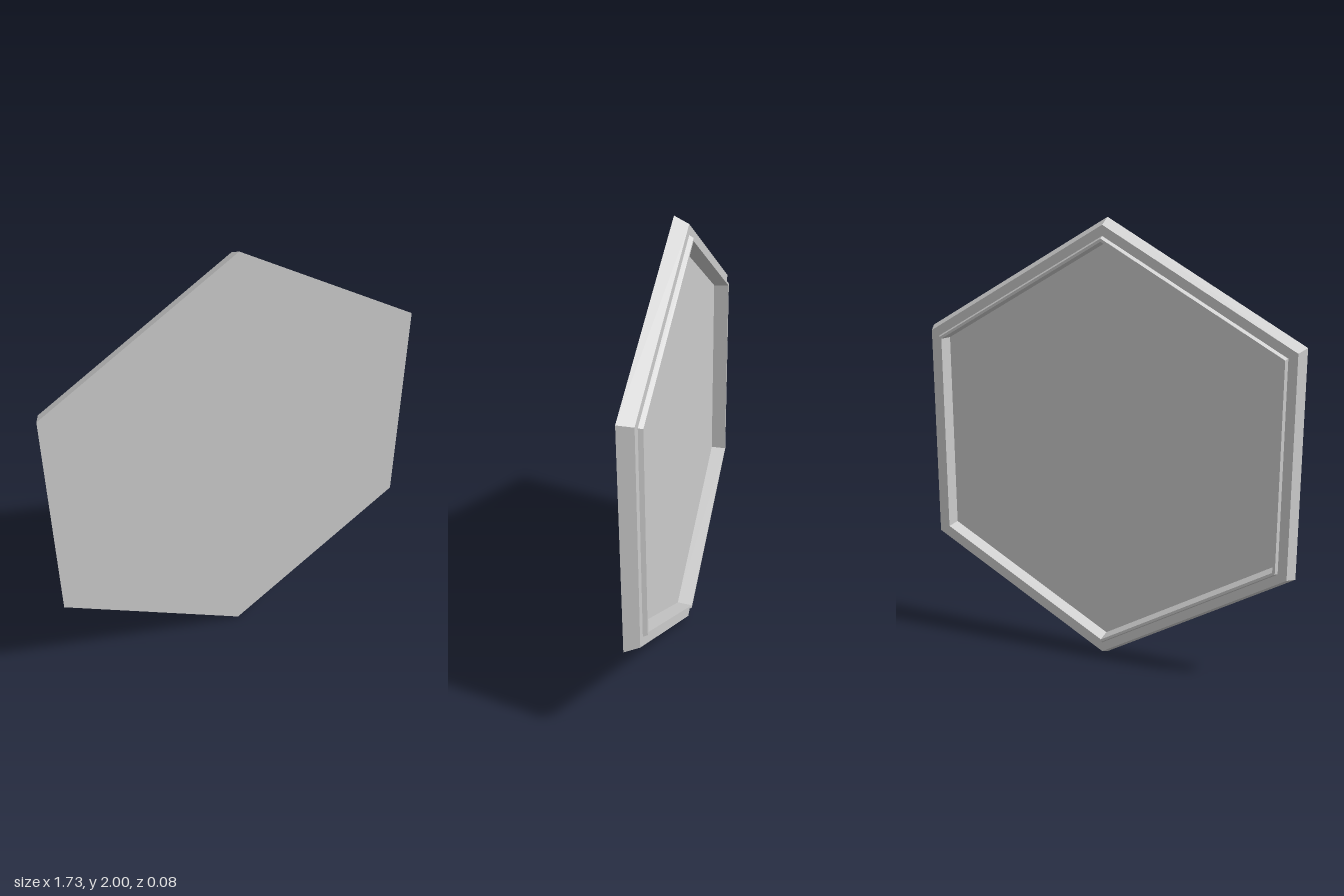
import * as THREE from 'three';

// Shallow hexagonal tray: one closed section swept around six sides.
export function createModel() {
  const group = new THREE.Group();
  group.name = 'hexagonalTray';

  // [corner radius, depth], from recessed floor over the lip to the front face
  const section = [
    [0, 0.03], [0.897, 0.03],        // recess floor
    [0.902, -0.04], [0.915, -0.04],  // inner wall and lip edge
    [0.925, -0.022], [0.97, -0.022], // lip flank and ledge
    [1, 0.04], [0, 0.04],            // slanted rim and front face
  ].map(([r, z]) => new THREE.Vector2(r, z));

  const geometry = new THREE.LatheGeometry(section, 6).toNonIndexed();
  geometry.rotateX(Math.PI / 2);
  geometry.computeVertexNormals();

  const tray = new THREE.Mesh(
    geometry,
    new THREE.MeshStandardMaterial({ color: 0xcccccc, flatShading: true })
  );
  tray.name = 'trayShell';
  tray.position.y = 1;
  group.add(tray);
  return group;
}
